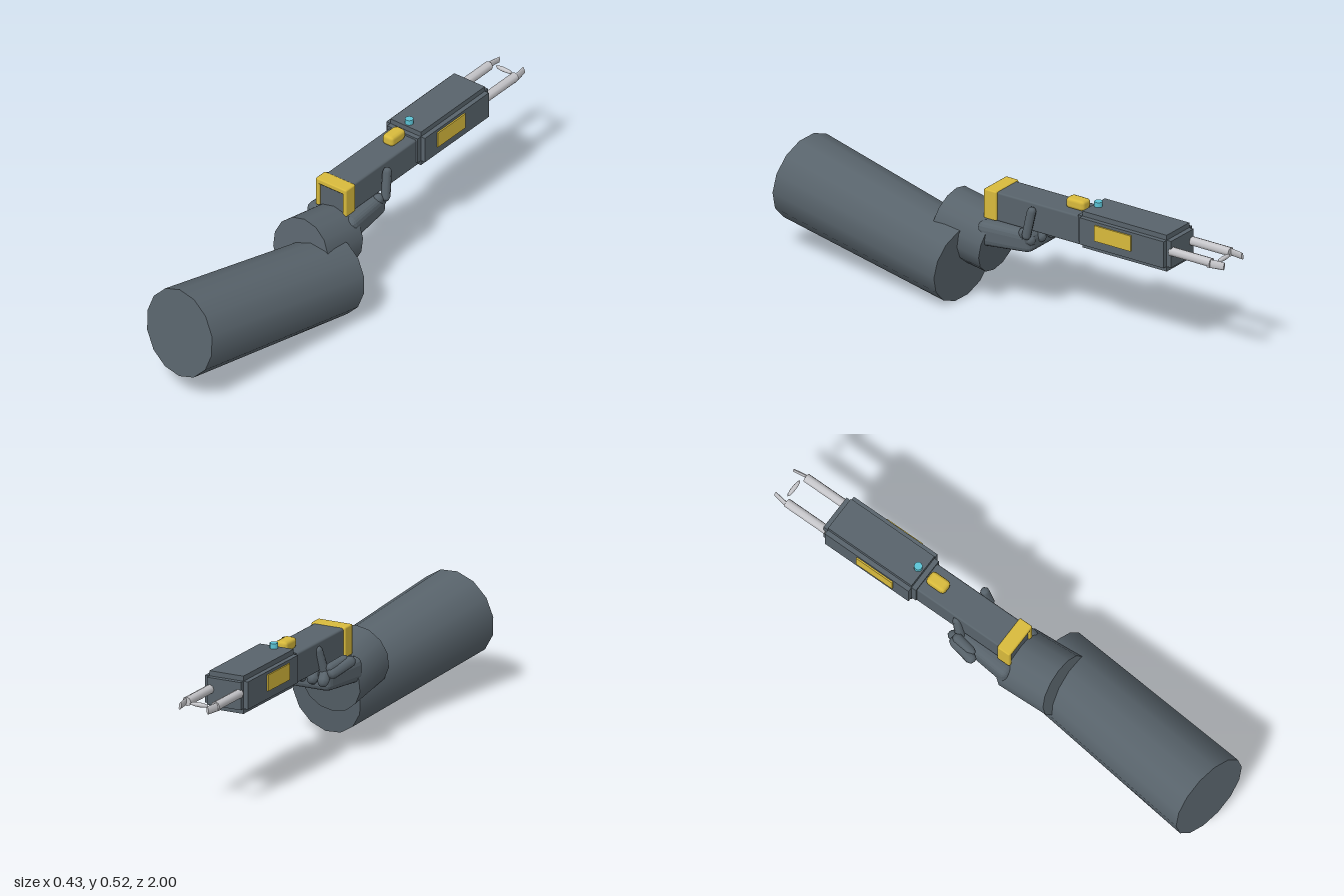
import * as THREE from 'three';
import { RoundedBoxGeometry } from 'three/addons/geometries/RoundedBoxGeometry.js';

const mat = (name, color) => Object.assign(new THREE.MeshStandardMaterial({ color }), { name });

export function createModel() {
  const model = new THREE.Group();
  const grey = mat('slate grey', 0x58636b);
  const yellow = mat('yellow trim', 0xd8ba3c);
  const cyan = mat('cyan light', 0x5cc4d6);
  const silver = mat('silver metal', 0xc6c6ca);
  const V = (p) => new THREE.Vector3(...p);
  const UP = new THREE.Vector3(0, 1, 0);

  const add = (name, geo, material, pos = [0, 0, 0]) => {
    const mesh = new THREE.Mesh(geo, material);
    mesh.name = name;
    mesh.position.set(...pos);
    model.add(mesh);
    return mesh;
  };
  // box given by its [min, max] range on each axis
  const box = (name, x, y, z, material, radius = 0) => {
    const s = [x, y, z].map(([a, b]) => b - a);
    const c = [x, y, z].map(([a, b]) => (a + b) / 2);
    return add(name, radius ? new RoundedBoxGeometry(...s, 1, radius) : new THREE.BoxGeometry(...s), material, c);
  };
  // tapered cylinder or capsule running between two points
  const between = (name, geoFor, a, b, material) => {
    const d = V(b).sub(V(a));
    const mesh = add(name, geoFor(d.length()), material, V(a).add(V(b)).multiplyScalar(0.5).toArray());
    mesh.quaternion.setFromUnitVectors(UP, d.normalize());
    return mesh;
  };
  const rod = (name, a, b, ra, rb, sides, material) =>
    between(name, (l) => new THREE.CylinderGeometry(rb, ra, l, sides), a, b, material);
  const finger = (name, a, b, r) =>
    between(name, (l) => new THREE.CapsuleGeometry(r, l - 2 * r, 2, 8), a, b, grey);

  // Arm
  rod('forearm', [0.06, 0.157, 0.172], [-0.047, 0.27, 0.97], 0.157, 0.174, 14, grey);
  rod('wristCuff', [-0.017, 0.247, 0.064], [-0.017, 0.287, 0.28], 0.125, 0.128, 14, grey);

  // Palm, narrowing toward the knuckles
  const palmGeo = new RoundedBoxGeometry(0.22, 0.1, 0.24, 2, 0.03);
  const p = palmGeo.attributes.position;
  for (let i = 0; i < p.count; i++) {
    const t = (0.12 - p.getZ(i)) / 0.24;
    p.setX(i, p.getX(i) * (1.05 - 0.2 * t));
    if (p.getY(i) < 0) p.setY(i, p.getY(i) * (1.05 - 0.4 * t));
  }
  palmGeo.computeVertexNormals();
  add('palm', palmGeo, grey, [-0.027, 0.305, -0.02]);

  // Knuckle row wrapped under the grip
  for (let i = 0; i < 4; i++) {
    const x = 0.055 - i * 0.052;
    const z = -0.085 - i * 0.012;
    finger('knuckle', [x, 0.36, z], [x - 0.012, 0.305, z - 0.055], 0.022);
  }
  // Upright fingers on both sides, and the thumb
  finger('rightUprightFinger', [-0.105, 0.33, -0.13], [-0.085, 0.455, -0.165], 0.018);
  finger('leftUprightFinger', [0.07, 0.33, -0.12], [0.06, 0.465, -0.145], 0.018);
  finger('thumb', [-0.165, 0.38, -0.025], [-0.13, 0.345, -0.155], 0.023);
  finger('thumbTip', [-0.145, 0.385, -0.04], [-0.12, 0.365, -0.15], 0.02);

  // Grip body and its rear arch
  box('gripBody', [-0.09, 0.04], [0.355, 0.472], [-0.37, 0.08], grey, 0.008);
  box('archTop', [-0.098, 0.048], [0.453, 0.476], [0.03, 0.088], yellow, 0.006);
  for (const [a, b] of [[-0.098, -0.08], [0.03, 0.048]])
    box('archSide', [a, b], [0.357, 0.472], [0.03, 0.088], yellow, 0.006);

  // Front housing: a box with a raised plate on each face
  box('housingWide', [-0.116, 0.066], [0.373, 0.48], [-0.748, -0.363], grey);
  box('housingTall', [-0.097, 0.047], [0.353, 0.5], [-0.748, -0.363], grey);
  box('housingLong', [-0.097, 0.047], [0.373, 0.48], [-0.768, -0.343], grey);
  box('rightPanel', [-0.122, -0.115], [0.405, 0.468], [-0.6, -0.435], yellow);
  box('leftPanel', [0.065, 0.072], [0.405, 0.468], [-0.6, -0.435], yellow);

  // Controls on top
  box('slideKnob', [-0.051, 0.001], [0.468, 0.511], [-0.335, -0.25], yellow, 0.014);
  add('indicatorLight', new THREE.CylinderGeometry(0.016, 0.016, 0.03, 10), cyan, [-0.025, 0.505, -0.385]);

  // Twin prongs with thin inward tips and a small bridge
  for (const s of [-1, 1]) {
    const x = -0.026 + s * 0.061;
    rod('prong', [x, 0.435, -0.76], [x, 0.435, -0.945], 0.018, 0.018, 8, silver);
    const tip = rod('prongTip', [x + s * 0.008, 0.433, -0.93], [x - s * 0.003, 0.433, -1], 0.017, 0.015, 8, silver);
    tip.scale.x = 0.35;
  }
  const bridge = add('prongBridge', new THREE.SphereGeometry(1, 10, 6), silver, [-0.026, 0.435, -0.957]);
  bridge.scale.set(0.04, 0.009, 0.009);

  return model;
}
